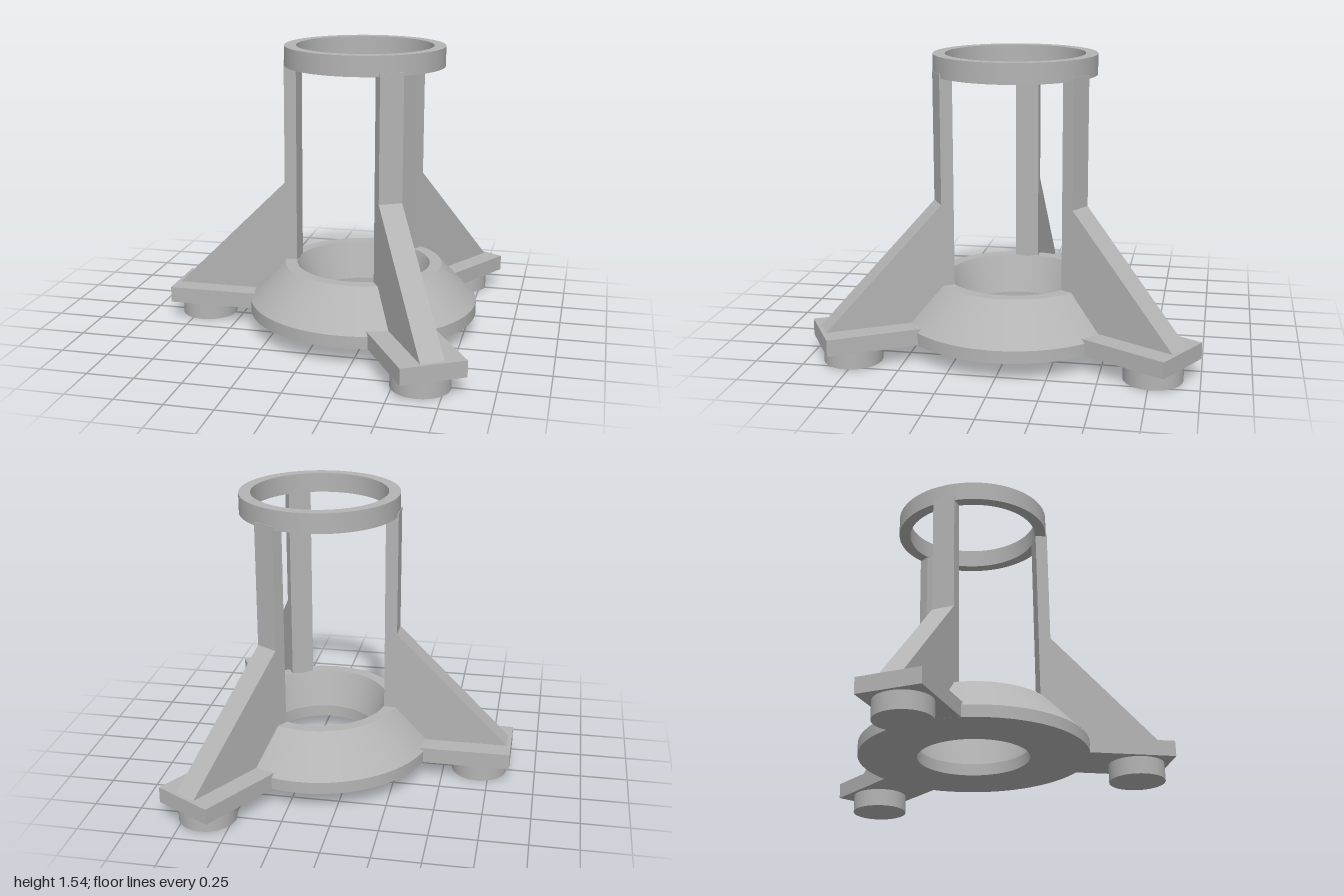
import * as THREE from 'three';
import { toCreasedNormals } from 'three/addons/utils/BufferGeometryUtils.js';

const AXIS_X = 0.19; // the round parts and legs are arranged about this axis

export function createModel() {
  const model = new THREE.Group();
  model.name = 'tripodStand';
  const grey = new THREE.MeshStandardMaterial({ color: 0xb4b4b4 });
  grey.name = 'plain grey';

  const body = new THREE.Group();
  body.name = 'standBody';
  body.position.x = AXIS_X;
  model.add(body);

  const add = (parent, name, geometry) => {
    const mesh = new THREE.Mesh(geometry, grey);
    mesh.name = name;
    parent.add(mesh);
    return mesh;
  };

  // Closed ring turned from a [radius, height] cross-section
  const turned = (profile) => {
    const points = [...profile, profile[0]].map(([r, y]) => new THREE.Vector2(r, y));
    return toCreasedNormals(new THREE.LatheGeometry(points, 72), 0.2);
  };

  // Conical base with a funnel-shaped opening
  add(body, 'base', turned([
    [0.3, 0.095], [0.615, 0.095], [0.615, 0.16], [0.425, 0.36], [0.36, 0.36], [0.3, 0.16],
  ]));

  // Upper holding ring
  add(body, 'topRing', turned([
    [0.36, 1.435], [0.422, 1.435], [0.422, 1.54], [0.36, 1.54],
  ]));

  // Side outline of an upright with its sloping brace
  const ribShape = new THREE.Shape([
    [0.358, 0.17], [1.035, 0.17], [1.035, 0.18], [0.424, 0.79], [0.424, 1.455], [0.358, 1.455],
  ].map(([r, y]) => new THREE.Vector2(r, y)));
  const ribGeometry = new THREE.ExtrudeGeometry(ribShape, { depth: 0.125, bevelEnabled: false });
  ribGeometry.translate(0, 0, -0.0625);

  const plateGeometry = new THREE.BoxGeometry(0.555, 0.085, 0.342);
  const footGeometry = new THREE.CylinderGeometry(0.15, 0.15, 0.1, 48);

  // Three legs, each built along +x and swung round the axis
  [Math.PI, Math.PI / 3, -Math.PI / 3].forEach((angle, i) => {
    const leg = new THREE.Group();
    leg.name = ['rightLeg', 'backLeftLeg', 'frontLeftLeg'][i];
    leg.rotation.y = angle;
    body.add(leg);
    add(leg, 'uprightBrace', ribGeometry);
    add(leg, 'legPlate', plateGeometry).position.set(0.7775, 0.1378, 0);
    add(leg, 'foot', footGeometry).position.set(0.885, 0.05, 0);
  });

  return model;
}
